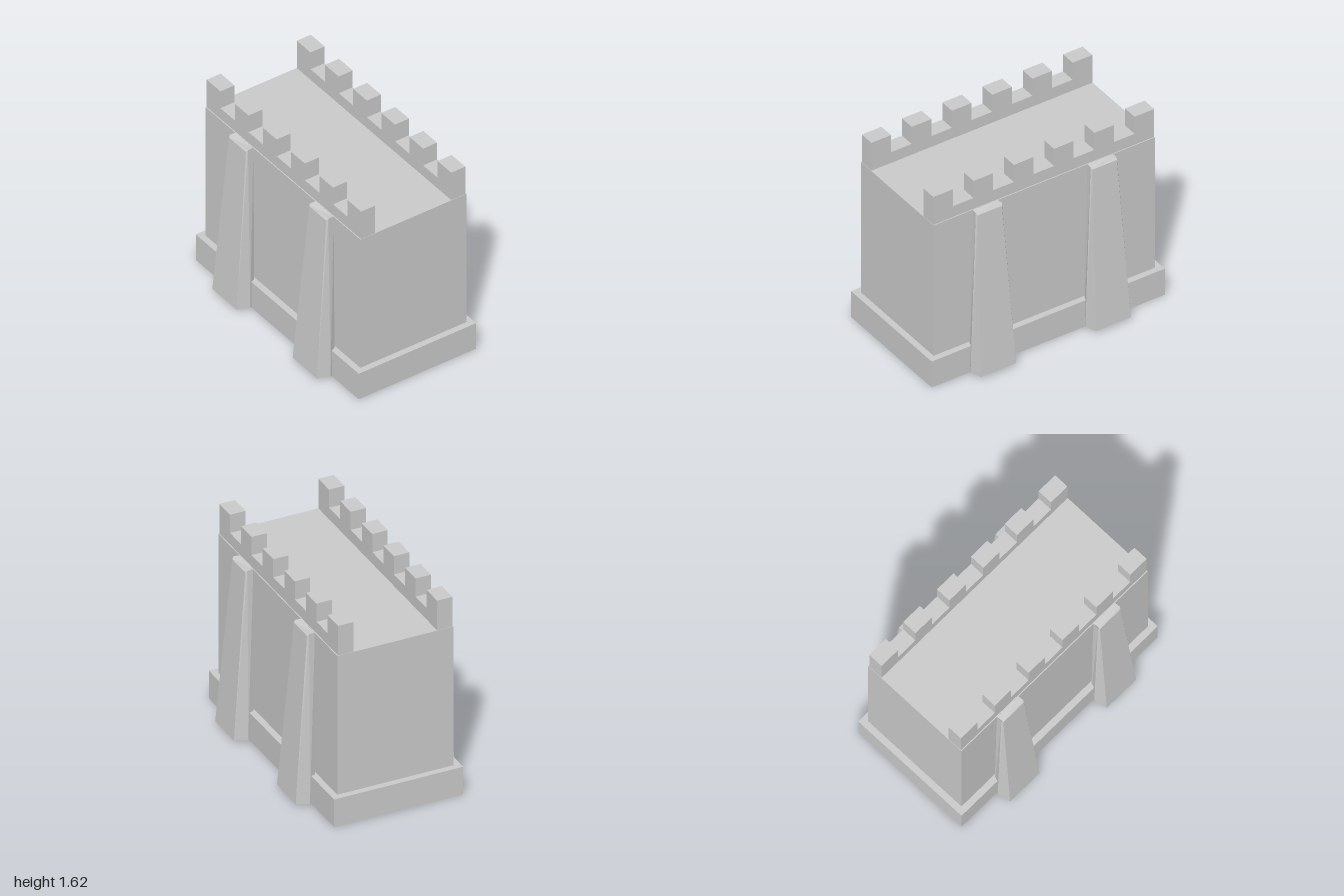
import * as THREE from 'three';

const material = new THREE.MeshStandardMaterial({ color: 0xcccccc, flatShading: true, side: THREE.DoubleSide });

// Skin a stack of rings (each a list of [x, y, z], counterclockwise from above), bottom to top.
function loft(rings, capBottom, capTop) {
  const pos = [];
  const tri = (a, b, c) => pos.push(...a, ...b, ...c);
  const n = rings[0].length;
  for (let r = 0; r < rings.length - 1; r++) {
    for (let i = 0; i < n; i++) {
      const j = (i + 1) % n, lo = rings[r], hi = rings[r + 1];
      tri(lo[i], lo[j], hi[j]);
      tri(lo[i], hi[j], hi[i]);
    }
  }
  const first = rings[0], last = rings[rings.length - 1];
  for (let i = 1; i < n - 1; i++) {
    if (capBottom) tri(first[0], first[i + 1], first[i]);
    if (capTop) tri(last[0], last[i], last[i + 1]);
  }
  const geo = new THREE.BufferGeometry();
  geo.setAttribute('position', new THREE.Float32BufferAttribute(pos, 3));
  geo.computeVertexNormals();
  return geo;
}

const rect = (w, d, y) => [[w, y, d], [w, y, -d], [-w, y, -d], [-w, y, d]];

// Six-sided section from [x, y, half width] at the outer face, shoulder and inner face.
const section = (outer, mid, inner) => [
  [outer[0], outer[1], outer[2]], [outer[0], outer[1], -outer[2]],
  [mid[0], mid[1], -mid[2]], [inner[0], inner[1], -inner[2]],
  [inner[0], inner[1], inner[2]], [mid[0], mid[1], mid[2]],
];

// Crenellated wall, drawn along its length and extruded to its thickness.
function parapetGeometry() {
  const floor = 1.375, low = 1.47, high = 1.62, end = 0.947, thick = 0.122;
  const width = 0.168, pitch = (2 * end - width) / 5;
  const shape = new THREE.Shape();
  shape.moveTo(-end, floor);
  for (let i = 0; i < 6; i++) {
    const a = -end + i * pitch, b = a + width;
    if (i > 0) shape.lineTo(a, low);
    shape.lineTo(a, high);
    shape.lineTo(b, high);
    if (i < 5) shape.lineTo(b, low);
  }
  shape.lineTo(end, floor);
  const geo = new THREE.ExtrudeGeometry(shape, { depth: thick, bevelEnabled: false });
  geo.translate(0, 0, -thick / 2);
  geo.rotateY(Math.PI / 2);
  return geo;
}

export function createModel() {
  const group = new THREE.Group();
  const add = (name, geo) => {
    const mesh = new THREE.Mesh(geo, material);
    mesh.name = name;
    group.add(mesh);
    return mesh;
  };

  // Hollow shell, open underneath: plinth with its ledge, then walls and roof
  add('plinth', loft([rect(0.512, 1, 0), rect(0.512, 1, 0.228), rect(0.462, 0.95, 0.228)], false, false));
  add('wallsAndRoof', loft([rect(0.462, 0.95, 0.228), rect(0.462, 0.95, 1.375)], false, true));

  // Battlements along both long sides
  const parapet = parapetGeometry();
  for (const side of [1, -1]) {
    add(side > 0 ? 'leftParapet' : 'rightParapet', parapet).position.x = side * 0.393;
  }

  // Tapering buttresses, two on each side
  const buttress = loft([
    section([0.632, 0.025, 0.15], [0.53, 0.01, 0.172], [0.48, 0.015, 0.152]),
    section([0.52, 1.36, 0.104], [0.507, 1.375, 0.112], [0.458, 1.375, 0.108]),
  ], true, true);
  for (const side of [1, -1]) {
    for (const z of [0.507, -0.478]) {
      const mesh = add((side > 0 ? 'left' : 'right') + (z > 0 ? 'Front' : 'Back') + 'Buttress', buttress);
      mesh.rotation.y = side > 0 ? 0 : Math.PI;
      mesh.position.z = z;
    }
  }
  return group;
}
